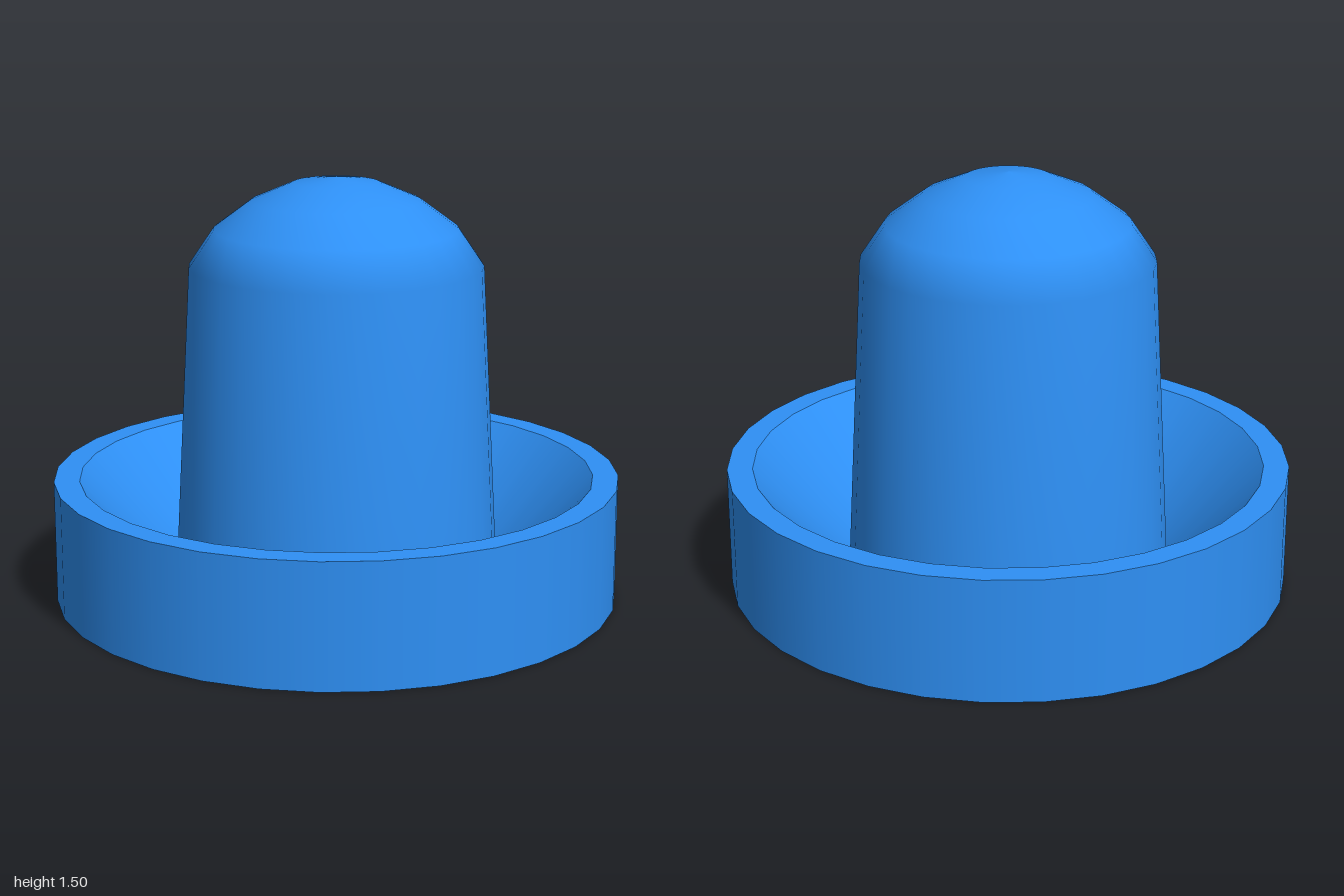
import * as THREE from 'three';

const SEGMENTS = 32;

export function createModel() {
  const group = new THREE.Group();
  const material = new THREE.MeshStandardMaterial({ color: 0x2e90f5 });

  // Each turned surface is its own lathe, so the edges between them stay sharp
  const turn = (name, profile) => {
    const points = profile.map(([r, y]) => new THREE.Vector2(r, y));
    const mesh = new THREE.Mesh(new THREE.LatheGeometry(points, SEGMENTS), material);
    mesh.name = name;
    group.add(mesh);
  };

  // Dished base
  turn('baseUnderside', [[0, 0], [1, 0]]);
  turn('baseOuterWall', [[1, 0], [1, 0.437]]);
  turn('baseRim', [[1, 0.437], [0.91, 0.437]]);
  turn('baseInnerSlope', [[0.91, 0.437], [0.575, 0.08]]);

  // Tapered grip with a domed top
  turn('gripKnob', [
    [0.575, 0.08], [0.515, 1.185],
    [0.427, 1.315], [0.295, 1.413], [0.15, 1.475], [0, 1.495],
  ]);

  return group;
}
